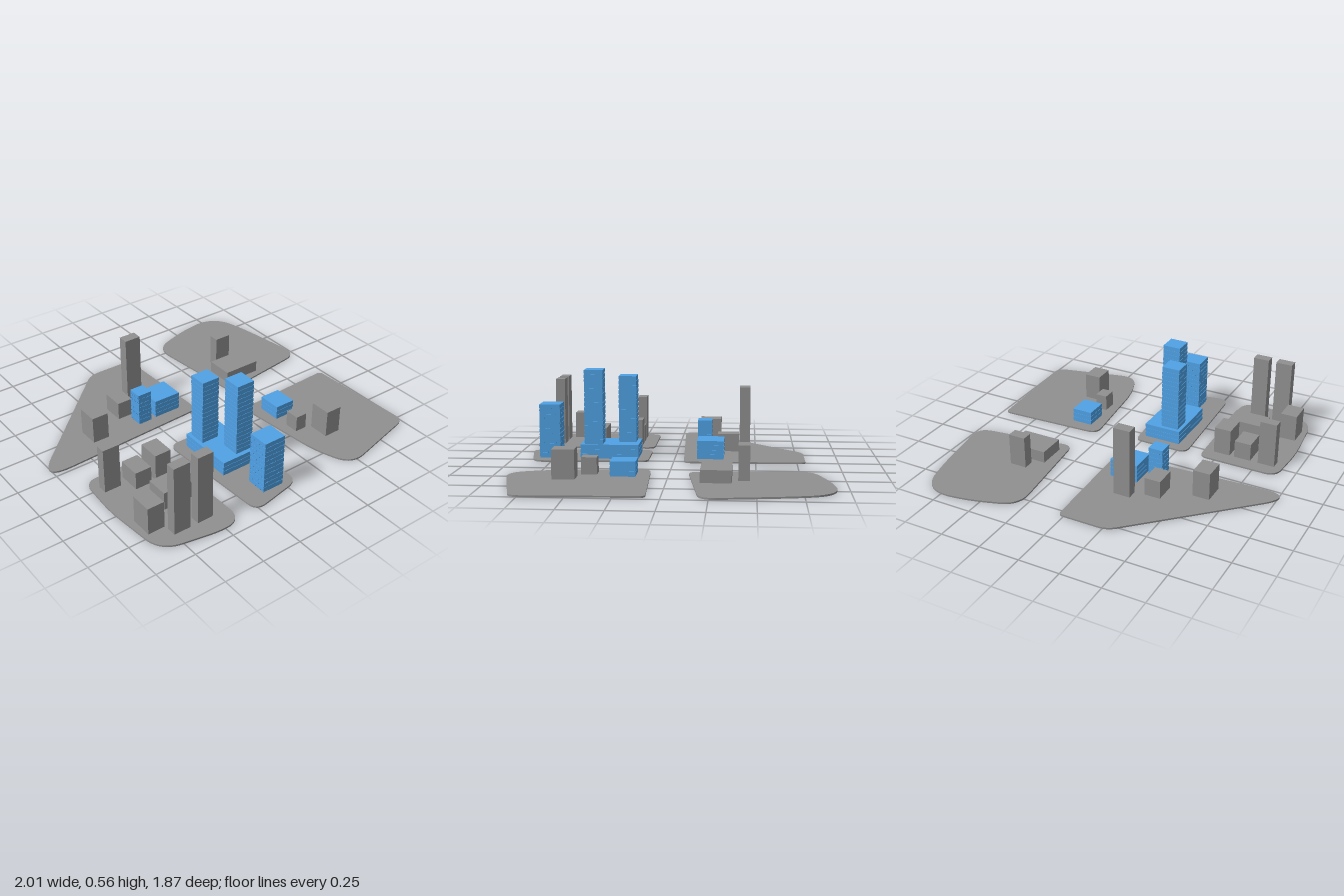
import * as THREE from 'three';
import { mergeGeometries } from 'three/addons/utils/BufferGeometryUtils.js';

const GROUND = 0.01; // thickness of the city-block plates
const grey = new THREE.MeshStandardMaterial({ color: 0x909090, flatShading: true });
const blue = new THREE.MeshStandardMaterial({ color: 0x50a2e6, flatShading: true });

// Plates: corners as [x, z, corner cut]
const plates = {
  backRightPlate: [[-1.10, -0.01, 0.22], [-0.28, -0.80, 0.06], [0.03, -0.80, 0.03], [0.053, -0.065, 0.05]],
  backLeftPlate: [[0.278, -0.82, 0.12], [0.55, -0.91, 0.1], [0.86, -0.955, 0.19], [0.93, -0.66, 0.1],
    [1.0, -0.2, 0.1], [0.35, -0.11, 0.06]],
  frontRightPlate: [[-0.905, 0.155, 0.08], [-0.405, 0.155, 0.05], [-0.385, 0.94, 0.12], [-0.56, 0.935, 0.05],
    [-0.885, 0.875, 0.13], [-0.925, 0.45, 0.1]],
  frontMiddlePlate: [[-0.313, 0.155, 0.06], [0.035, 0.155, 0.04], [0.08, 0.855, 0.08], [-0.275, 0.925, 0.08]],
  frontLeftPlate: [[0.295, 0.11, 0.07], [0.97, 0.078, 0.03], [1.003, 0.795, 0.06], [0.44, 0.935, 0.12], [0.355, 0.70, 0.1]],
};

// Plain blocks: [x0, x1, z0, z1, top]
const blocks = [
  [-0.66, -0.555, -0.275, -0.14, 0.18], [-0.405, -0.305, -0.395, -0.26, 0.122], [-0.245, -0.14, -0.465, -0.40, 0.443],
  [0.395, 0.64, -0.365, -0.19, 0.083], [0.465, 0.572, -0.465, -0.40, 0.21],
  [-0.86, -0.755, 0.24, 0.30, 0.295], [-0.705, -0.60, 0.24, 0.38, 0.12], [-0.57, -0.465, 0.24, 0.38, 0.18],
  [-0.68, -0.457, 0.48, 0.62, 0.122], [-0.865, -0.76, 0.60, 0.735, 0.18],
  [-0.755, -0.65, 0.76, 0.82, 0.443], [-0.60, -0.50, 0.76, 0.82, 0.443],
  [0.39, 0.465, 0.405, 0.495, 0.11], [0.50, 0.605, 0.51, 0.64, 0.18],
];

// Banded buildings: [name, x0, x1, z0, z1, base, top, mullions]
const banded = [
  ['slimTower', -0.335, -0.245, -0.225, -0.135, GROUND, 0.218, true],
  ['wideBlock', -0.21, -0.032, -0.305, -0.14, GROUND, 0.123, false],
  ['podium', -0.235, 0, 0.217, 0.577, GROUND, 0.098, false],
  ['podiumBackTower', -0.215, -0.10, 0.24, 0.35, 0.098, 0.511, false],
  ['podiumFrontTower', -0.125, -0.01, 0.437, 0.552, 0.098, 0.557, false],
  ['gridTower', -0.15, -0.01, 0.703, 0.831, GROUND, 0.342, true],
  ['cornerBlock', 0.378, 0.51, 0.178, 0.325, GROUND, 0.098, false],
];

function plateGeometry(corners) {
  const pts = corners.map(([x, z]) => new THREE.Vector2(x, -z));
  const n = pts.length;
  const shape = new THREE.Shape();
  pts.forEach((p, i) => {
    const toward = (q) => q.clone().sub(p).setLength(corners[i][2]).add(p);
    const a = toward(pts[(i + n - 1) % n]);
    const b = toward(pts[(i + 1) % n]);
    if (i === 0) shape.moveTo(a.x, a.y);
    else shape.lineTo(a.x, a.y);
    shape.quadraticCurveTo(p.x, p.y, b.x, b.y);
  });
  shape.closePath();
  return new THREE.ExtrudeGeometry(shape, { depth: GROUND, bevelEnabled: false, curveSegments: 12 })
    .rotateX(-Math.PI / 2);
}

function box(x0, x1, y0, y1, z0, z1) {
  return new THREE.BoxGeometry(x1 - x0, y1 - y0, z1 - z0)
    .translate((x0 + x1) / 2, (y0 + y1) / 2, (z0 + z1) / 2);
}

// Recessed core wrapped by projecting floor bands, optionally with mullions
function bandedGeometry(x0, x1, z0, z1, base, top, mullions) {
  const r = 0.002;
  const parts = [box(x0 + r, x1 - r, base, top - 0.004, z0 + r, z1 - r)];
  const floors = Math.round((top - base) / 0.029);
  const pitch = (top - base) / floors;
  for (let i = 0; i < floors; i++) {
    const y = base + (i + 1) * pitch;
    parts.push(box(x0, x1, y - pitch * 0.72, y, z0, z1));
  }
  if (mullions) {
    const e = 0.0005, w = 0.004, count = 5;
    for (let i = 0; i <= count; i++) {
      const x = THREE.MathUtils.lerp(x0 + w, x1 - w, i / count);
      const z = THREE.MathUtils.lerp(z0 + w, z1 - w, i / count);
      parts.push(box(x - w / 2, x + w / 2, base, top - e, z0 + e, z1 - e));
      parts.push(box(x0 + e, x1 - e, base, top - e, z - w / 2, z + w / 2));
    }
  }
  return mergeGeometries(parts);
}

export function createModel() {
  const model = new THREE.Group();
  model.name = 'cityBlocks';
  const add = (name, geometry, material) => {
    const mesh = new THREE.Mesh(geometry, material);
    mesh.name = name;
    model.add(mesh);
  };

  // Ground plates
  for (const [name, corners] of Object.entries(plates)) add(name, plateGeometry(corners), grey);

  // Plain surrounding buildings
  blocks.forEach(([x0, x1, z0, z1, top], i) =>
    add(`plainBuilding${i + 1}`, box(x0, x1, GROUND, top, z0, z1), grey));

  // Highlighted buildings with floor bands
  for (const [name, ...dims] of banded) add(name, bandedGeometry(...dims), blue);

  return model;
}
